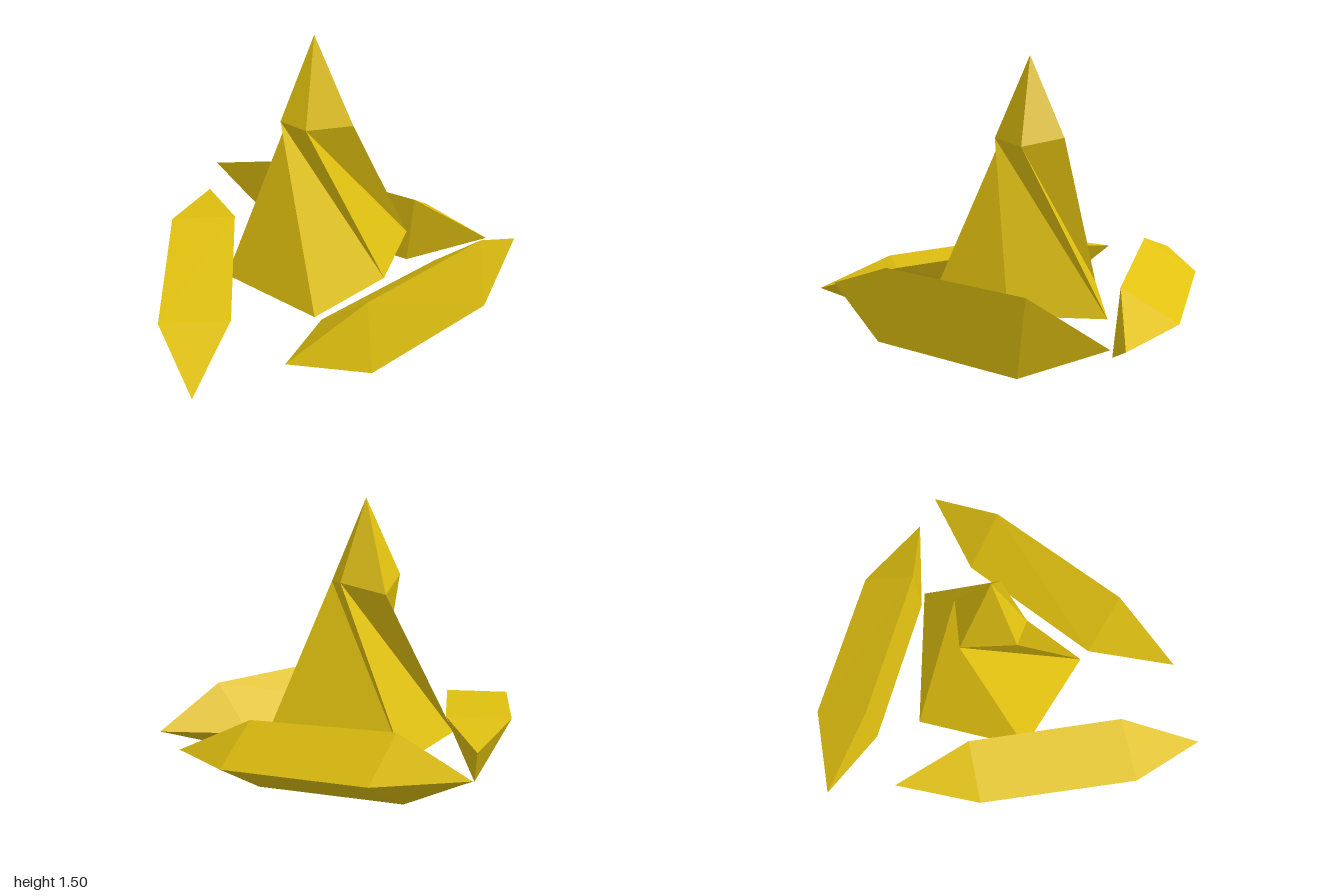
import * as THREE from 'three';

// Faceted crystal: start tip, two matching rings of corners, end tip
function crystalGeometry(tipA, ringA, ringB, tipB) {
  const n = ringA.length;
  let tris = [];
  for (let i = 0; i < n; i++) {
    const j = (i + 1) % n;
    tris.push([tipA, ringA[j], ringA[i]]);
    tris.push([ringA[i], ringA[j], ringB[j]], [ringA[i], ringB[j], ringB[i]]);
    tris.push([ringB[i], ringB[j], tipB]);
  }
  // turn all faces outwards, whichever way the rings run
  const v = (p) => new THREE.Vector3(...p);
  const volume = tris.reduce((s, [a, b, c]) => s + v(a).dot(v(b).cross(v(c))), 0);
  if (volume < 0) tris = tris.map(([a, b, c]) => [a, c, b]);
  const geometry = new THREE.BufferGeometry();
  geometry.setAttribute('position', new THREE.Float32BufferAttribute(tris.flat(2), 3));
  geometry.computeVertexNormals();
  return geometry;
}

export function createModel() {
  const group = new THREE.Group();
  const gold = new THREE.MeshStandardMaterial({ color: 0xe0c010 });
  gold.name = 'gold crystal';

  const add = (name, ...sections) => {
    const mesh = new THREE.Mesh(crystalGeometry(...sections), gold);
    mesh.name = name;
    group.add(mesh);
  };

  // Upright five-sided spire with a flat base and a pointed cap
  add('centralSpire',
    [-0.07, 0.24, 0.1],
    [[-0.21, 0.24, -0.4], [0.475, 0.24, -0.08], [0.2, 0.24, 0.33], [-0.24, 0.24, 0.565], [-0.57, 0.24, 0.07]],
    [[0.06, 1.09, -0.06], [0.07, 1.06, 0.19], [-0.18, 1.08, 0.22], [-0.28, 1.1, 0.12], [-0.16, 1.035, -0.13]],
    [-0.09, 1.505, 0.06]);

  // Three-sided shards lying around the spire
  add('frontShard',
    [-0.5, 0.33, 1],
    [[-0.07, 0.485, 0.86], [-0.06, 0.12, 0.915], [-0.22, 0.26, 0.62]],
    [[0.67, 0.46, 0.46], [0.69, 0.095, 0.515], [0.52, 0.23, 0.23]],
    [0.99, 0.27, 0.205]);

  add('backShard',
    [-0.4, 0.345, -1],
    [[-0.12, 0.48, -0.66], [-0.16, 0.115, -0.64], [0.05, 0.3, -0.89]],
    [[0.53, 0.41, -0.12], [0.49, 0.045, -0.1], [0.695, 0.235, -0.355]],
    [0.89, 0.21, 0.065]);

  add('rightShard',
    [-0.92, 0.2, 0.96],
    [[-0.995, 0.325, 0.525], [-0.66, 0.33, 0.6], [-0.805, 0.0, 0.53]],
    [[-0.785, 0.41, -0.29], [-0.46, 0.415, -0.215], [-0.6, 0.08, -0.285]],
    [-0.51, 0.36, -0.66]);

  return group;
}
